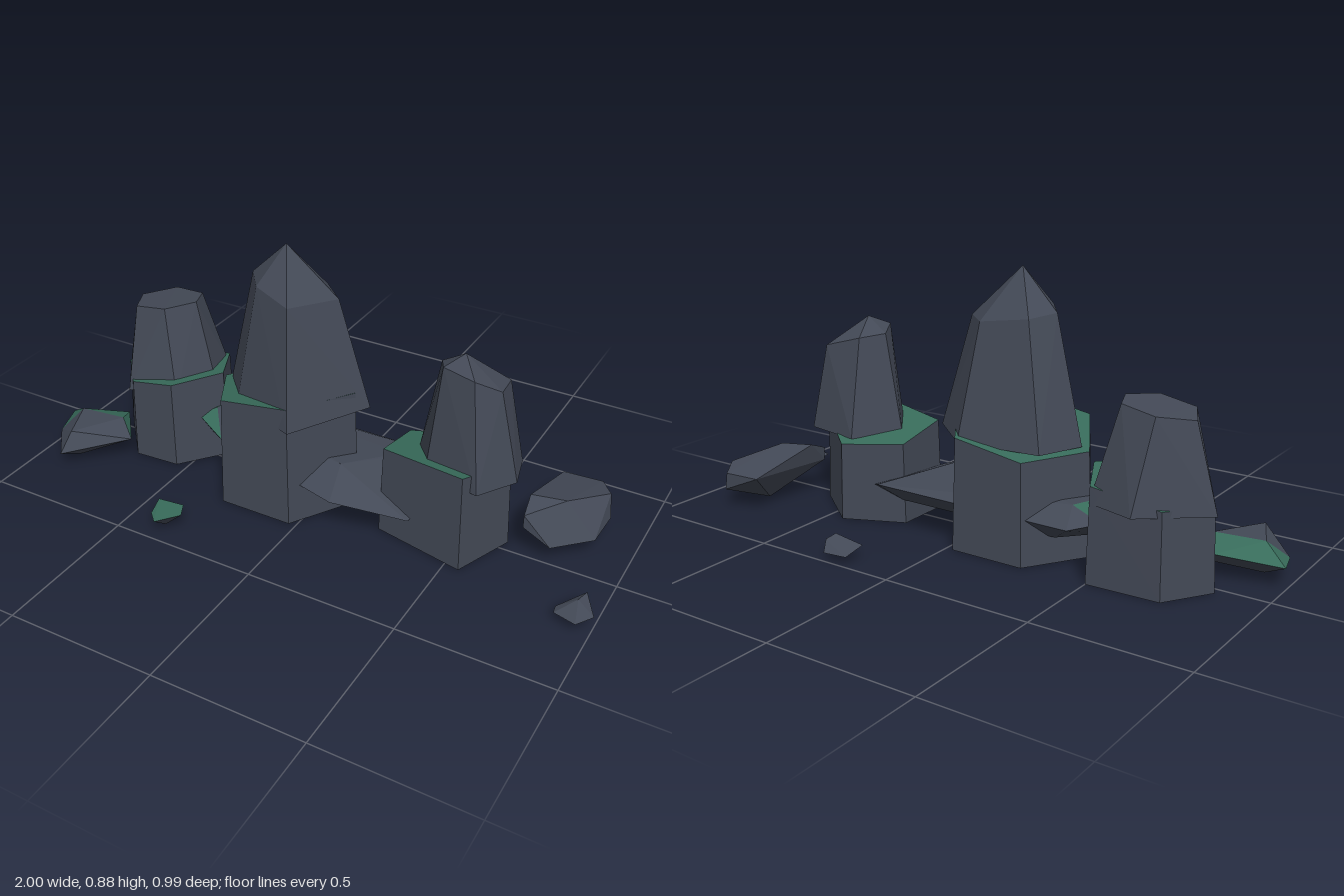
import * as THREE from 'three';
import { ConvexGeometry } from 'three/addons/geometries/ConvexGeometry.js';

const slate = new THREE.MeshStandardMaterial({ color: 0x434956 });
slate.name = 'slate';
const moss = new THREE.MeshStandardMaterial({ color: 0x386c5b });
moss.name = 'moss';

// Faceted stone from corner points; faces chosen by isMoss(centre, normal) turn green
function stone(name, corners, isMoss = () => false) {
  const geo = new ConvexGeometry(corners.map((p) => new THREE.Vector3(...p)));
  const pos = geo.attributes.position;
  const tri = new THREE.Triangle();
  const centre = new THREE.Vector3();
  const normal = new THREE.Vector3();
  for (let i = 0; i < pos.count; i += 3) {
    tri.setFromAttributeAndIndices(pos, i, i + 1, i + 2);
    tri.getMidpoint(centre);
    tri.getNormal(normal);
    geo.addGroup(i, 3, isMoss(centre, normal) ? 1 : 0);
  }
  const mesh = new THREE.Mesh(geo, [slate, moss]);
  mesh.name = name;
  return mesh;
}

// Slightly tapered block with a sloping mossy top: y = a + b*x + c*z
function plinth(name, outline, [a, b, c]) {
  const cx = outline.reduce((s, p) => s + p[0], 0) / outline.length;
  const cz = outline.reduce((s, p) => s + p[1], 0) / outline.length;
  const corners = [];
  for (const [x, z] of outline) {
    const tx = cx + (x - cx) * 0.95;
    const tz = cz + (z - cz) * 0.97;
    corners.push([x, 0, z], [tx, a + b * tx + c * tz, tz]);
  }
  return stone(name, corners, (p, n) => n.y > 0.7);
}

// Tapering spire: flat skirt outline at one height, then crown corners
function spire(name, y, skirt, crown) {
  return stone(name, [...skirt.map(([x, z]) => [x, y, z]), ...crown]);
}

export function createModel() {
  const group = new THREE.Group();
  group.name = 'standingStones';

  // Middle pillar
  group.add(plinth('middlePlinth',
    [[-0.41, 0], [-0.28, 0.22], [-0.025, 0.22], [0.11, 0], [-0.025, -0.2], [-0.28, -0.2]],
    [0.4, 0.15, 0.14]));
  group.add(spire('middleSpire', 0.35,
    [[-0.37, 0], [-0.26, 0.14], [-0.02, 0.23], [0.13, -0.04], [-0.03, -0.18], [-0.31, -0.15]],
    [[-0.275, 0.755, 0], [-0.2, 0.76, 0.1], [-0.06, 0.74, 0.15], [0.025, 0.72, -0.02],
      [-0.06, 0.72, -0.1], [-0.23, 0.745, -0.09], [-0.14, 0.885, 0.015]]));

  // Pillar on the model's right, with a blunt top
  group.add(plinth('rightPlinth',
    [[-0.84, -0.03], [-0.7, 0.13], [-0.54, 0.12], [-0.42, -0.03], [-0.5, -0.19], [-0.74, -0.18]],
    [0.39, 0.15, 0.05]));
  group.add(spire('rightSpire', 0.25,
    [[-0.855, -0.07], [-0.72, 0.12], [-0.55, 0.08], [-0.465, -0.04], [-0.5, -0.18], [-0.66, -0.225]],
    [[-0.78, 0.52, -0.07], [-0.69, 0.535, -0.15], [-0.57, 0.55, -0.13], [-0.54, 0.557, -0.05],
      [-0.61, 0.55, 0.035], [-0.73, 0.53, 0.03]]));

  // Pillar on the model's left
  group.add(plinth('leftPlinth',
    [[0.24, -0.1], [0.24, 0.1], [0.55, 0.165], [0.63, -0.04], [0.44, -0.19]],
    [0.28, 0.04, 0.2]));
  group.add(spire('leftSpire', 0.27,
    [[0.32, -0.01], [0.39, 0.09], [0.58, 0.135], [0.66, 0.01], [0.63, -0.11], [0.43, -0.145]],
    [[0.385, 0.61, -0.01], [0.42, 0.63, 0.06], [0.53, 0.62, 0.08], [0.595, 0.575, 0.02],
      [0.58, 0.56, -0.085], [0.44, 0.6, -0.08], [0.465, 0.66, 0]]));

  // Long flat slab lying across the pillars
  group.add(stone('slab', [
    [-0.5, 0.17, 0.03], [-0.5, 0.16, -0.1], [-0.43, 0.15, -0.185], [0.29, 0.15, -0.185],
    [0.4, 0.1, -0.08], [0.36, 0.1, 0.14], [0.12, 0.13, 0.21], [-0.36, 0.15, 0.1],
    [-0.44, 0.2, 0], [-0.4, 0.2, -0.1], [0.1, 0.205, 0.1], [0.22, 0.17, -0.1],
    [-0.46, 0.09, 0], [-0.35, 0.09, -0.12], [0.1, 0.08, 0.1], [0.25, 0.08, -0.1],
  ], (p, n) => n.y > 0.1 && ((p.x < -0.3 && p.z > -0.1) || (p.x > 0.2 && p.z > 0.1))));

  // Scattered boulders
  group.add(stone('rightBoulder', [
    [-1, 0.07, 0.1], [-0.8, 0.09, 0.035], [-0.69, 0.085, 0.17], [-0.87, 0.06, 0.335],
    [-0.97, 0.06, 0.21], [-0.92, 0.125, 0.14], [-0.76, 0.125, 0.12], [-0.86, 0.125, 0.28],
    [-0.92, 0.025, 0.14], [-0.77, 0.03, 0.12], [-0.85, 0.02, 0.25],
  ], (p, n) => n.y > 0.2 && p.z < 0.15));
  group.add(stone('leftBoulder', [
    [0.69, 0.155, 0.005], [0.68, 0.185, -0.07], [0.79, 0.18, -0.1], [0.88, 0.14, -0.26],
    [0.83, 0.125, -0.335], [0.7, 0.125, -0.325], [0.895, 0.065, -0.24], [0.89, 0.065, -0.1],
    [0.78, 0.06, 0], [0.69, 0.11, 0.005], [0.84, 0.065, -0.335], [0.755, 0.02, -0.21],
  ]));

  // Pebbles
  group.add(stone('backPebble', [
    [0.16, 0.045, -0.415], [0.26, 0.065, -0.425], [0.27, 0.055, -0.46], [0.25, 0.025, -0.495],
    [0.17, 0.025, -0.485], [0.2, 0.03, -0.43],
  ]));
  group.add(stone('frontPebble', [
    [-0.42, 0.06, 0.38], [-0.33, 0.06, 0.37], [-0.305, 0.06, 0.42], [-0.36, 0.06, 0.49],
    [-0.4, 0.055, 0.45], [-0.41, 0.025, 0.4], [-0.34, 0.03, 0.38], [-0.36, 0.012, 0.43],
  ], (p, n) => n.y > 0.5));
  group.add(stone('leftPebble', [
    [0.88, 0.03, 0.21], [0.95, 0.06, 0.14], [1, 0.045, 0.22], [0.96, 0.035, 0.265],
    [0.885, 0.03, 0.24], [0.94, 0.065, 0.19], [0.93, 0.022, 0.22],
  ]));

  return group;
}
